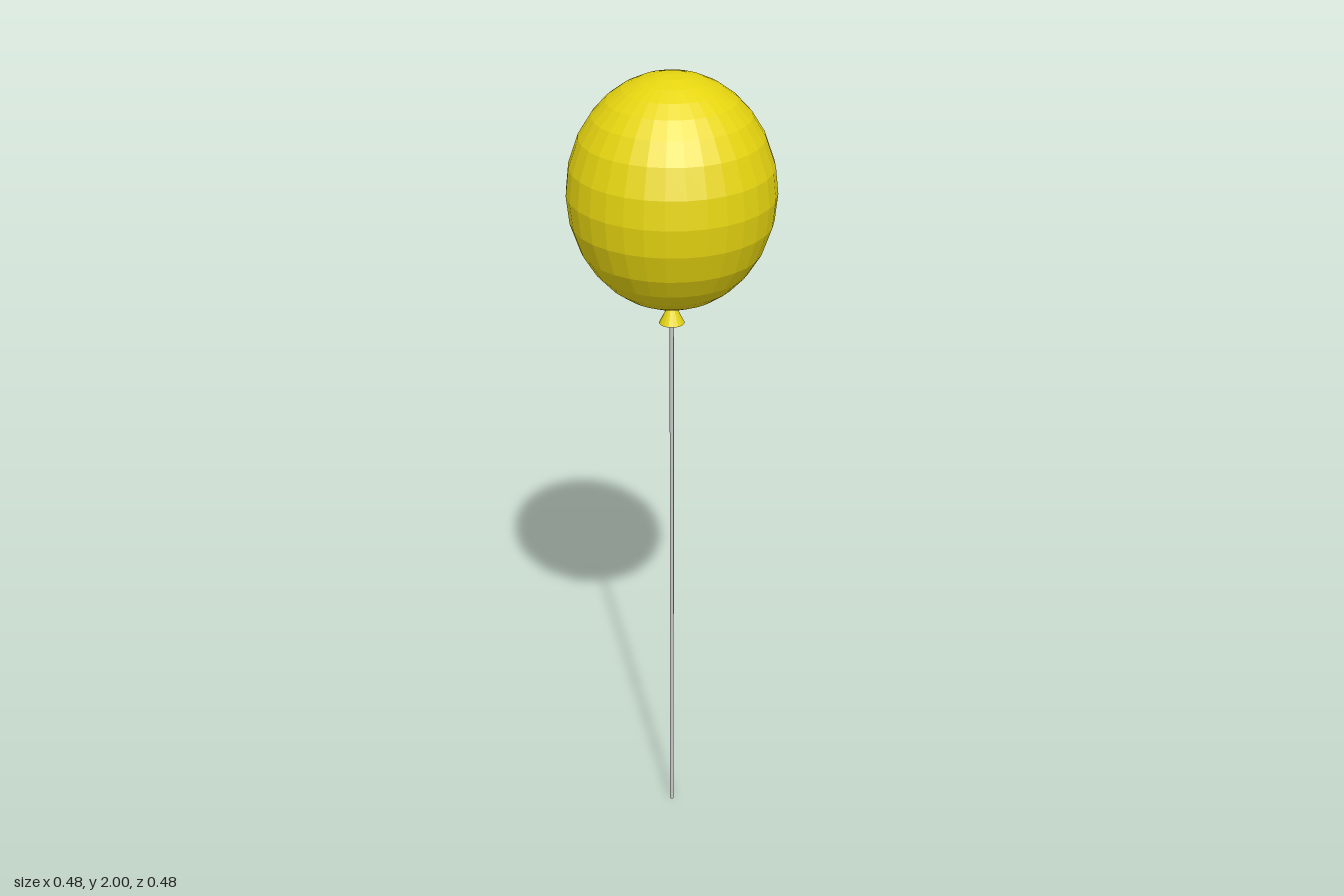
import * as THREE from 'three';

export function createModel() {
  const model = new THREE.Group();
  const yellow = new THREE.MeshStandardMaterial({ color: 0xe6d510, flatShading: true });
  const grey = new THREE.MeshStandardMaterial({ color: 0xcccccc });

  const add = (name, geometry, material, y) => {
    const mesh = new THREE.Mesh(geometry, material);
    mesh.name = name;
    mesh.position.y = y;
    model.add(mesh);
  };

  // Balloon: faceted ellipsoid turned from rings that close up towards the poles
  const radius = 0.24, halfHeight = 0.273;
  const ringRadii = [0, 0.0375, 0.075, 0.1125, 0.147, 0.18, 0.21, 0.233, 0.24];
  const lower = ringRadii.map((r) =>
    new THREE.Vector2(r, -halfHeight * Math.sqrt(Math.max(0, 1 - (r / radius) ** 2))));
  const upper = lower.slice(0, -1).reverse().map((p) => new THREE.Vector2(p.x, -p.y));
  add('balloon', new THREE.LatheGeometry([...lower, ...upper], 32), yellow, 2 - halfHeight);

  // Tied neck under the balloon
  add('knot', new THREE.ConeGeometry(0.03, 0.06, 16), yellow, 1.434);

  // Straight string down to the ground
  const stringHeight = 1.42;
  add('string', new THREE.CylinderGeometry(0.005, 0.005, stringHeight, 8), grey, stringHeight / 2);

  return model;
}
